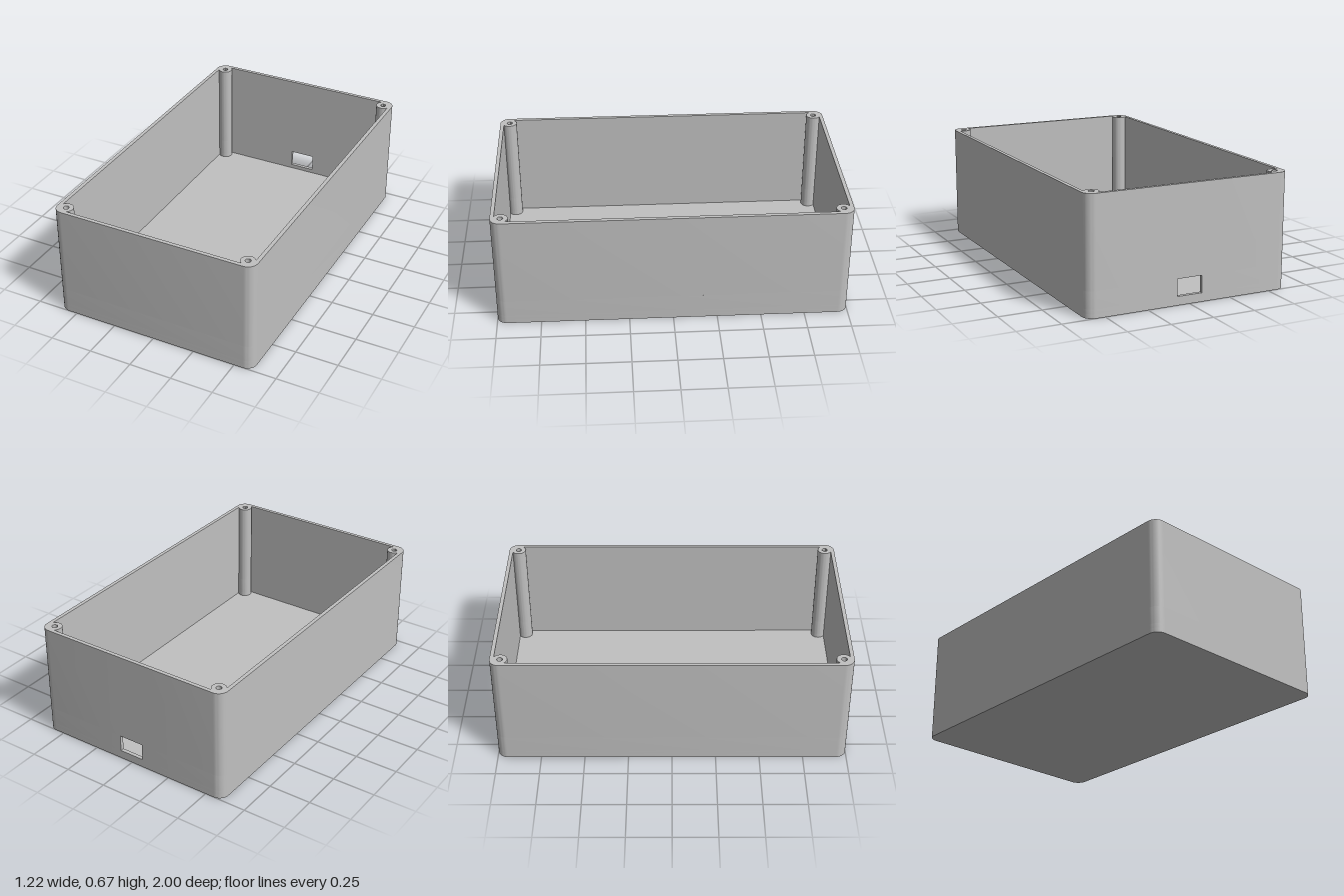
import * as THREE from 'three';
import { toCreasedNormals } from 'three/addons/utils/BufferGeometryUtils.js';

const W = 0.61, D = 1, H = 0.665;      // half width, half depth, height
const WALL = 0.022, FLOOR = 0.025;
const CORNER = 0.057;                  // outer corner radius, posts share its centre
const POST = 0.042, SCREW = 0.016;
const WINDOW = { half: 0.075, bottom: 0.05, top: 0.148 };

// The four corners, counter-clockwise from the back left of the plan (plan y = -z)
const corners = [3, 5, 7, 9].map((k) => {
  const angle = (k * Math.PI) / 4;
  return {
    angle,
    x: Math.sign(Math.cos(angle)) * (W - CORNER),
    y: Math.sign(Math.sin(angle)) * (D - CORNER),
  };
});

function arc(c, radius, from, to, steps) {
  return Array.from({ length: steps + 1 }, (_, i) => {
    const t = from + ((to - from) * i) / steps;
    return new THREE.Vector2(c.x + radius * Math.cos(t), c.y + radius * Math.sin(t));
  });
}

// Both outlines start and end at the sides of the window in the back wall
function outline(y, cornerPoints) {
  return [
    new THREE.Vector2(-WINDOW.half, y),
    ...corners.flatMap(cornerPoints),
    new THREE.Vector2(WINDOW.half, y),
  ];
}

const outer = outline(D, (c) => arc(c, CORNER, c.angle - Math.PI / 4, c.angle + Math.PI / 4, 10));

// The inner outline bulges inward around each screw post
const sweep = Math.PI / 4 + Math.asin((CORNER - WALL) / POST);
const inner = outline(D - WALL, (c) =>
  arc(c, POST, c.angle + Math.PI + sweep, c.angle + Math.PI - sweep, 24));

export function createModel() {
  const group = new THREE.Group();
  const grey = new THREE.MeshStandardMaterial({ color: 0xc0c0c0 });
  grey.name = 'light grey';

  function layer(name, shape, bottom, top) {
    const geometry = new THREE.ExtrudeGeometry(shape, {
      depth: top - bottom, bevelEnabled: false, curveSegments: 24,
    });
    geometry.rotateX(-Math.PI / 2);
    geometry.translate(0, bottom, 0);
    const mesh = new THREE.Mesh(toCreasedNormals(geometry, 0.6), grey);
    mesh.name = name;
    group.add(mesh);
  }

  const ring = () => {
    const shape = new THREE.Shape(outer);
    shape.holes.push(new THREE.Path(inner));
    return shape;
  };

  // Floor and the wall below the window
  layer('floor', new THREE.Shape(outer), 0, FLOOR);
  layer('lowerWall', ring(), FLOOR, WINDOW.bottom);

  // Wall band left open at the back for the window
  layer('windowWall', new THREE.Shape([...outer, ...[...inner].reverse()]), WINDOW.bottom, WINDOW.top);

  // Upper wall and posts with screw holes
  const upper = ring();
  for (const c of corners) {
    upper.holes.push(new THREE.Path().absarc(c.x, c.y, SCREW, 0, Math.PI * 2, true));
  }
  layer('upperWallAndPosts', upper, WINDOW.top, H);

  return group;
}
